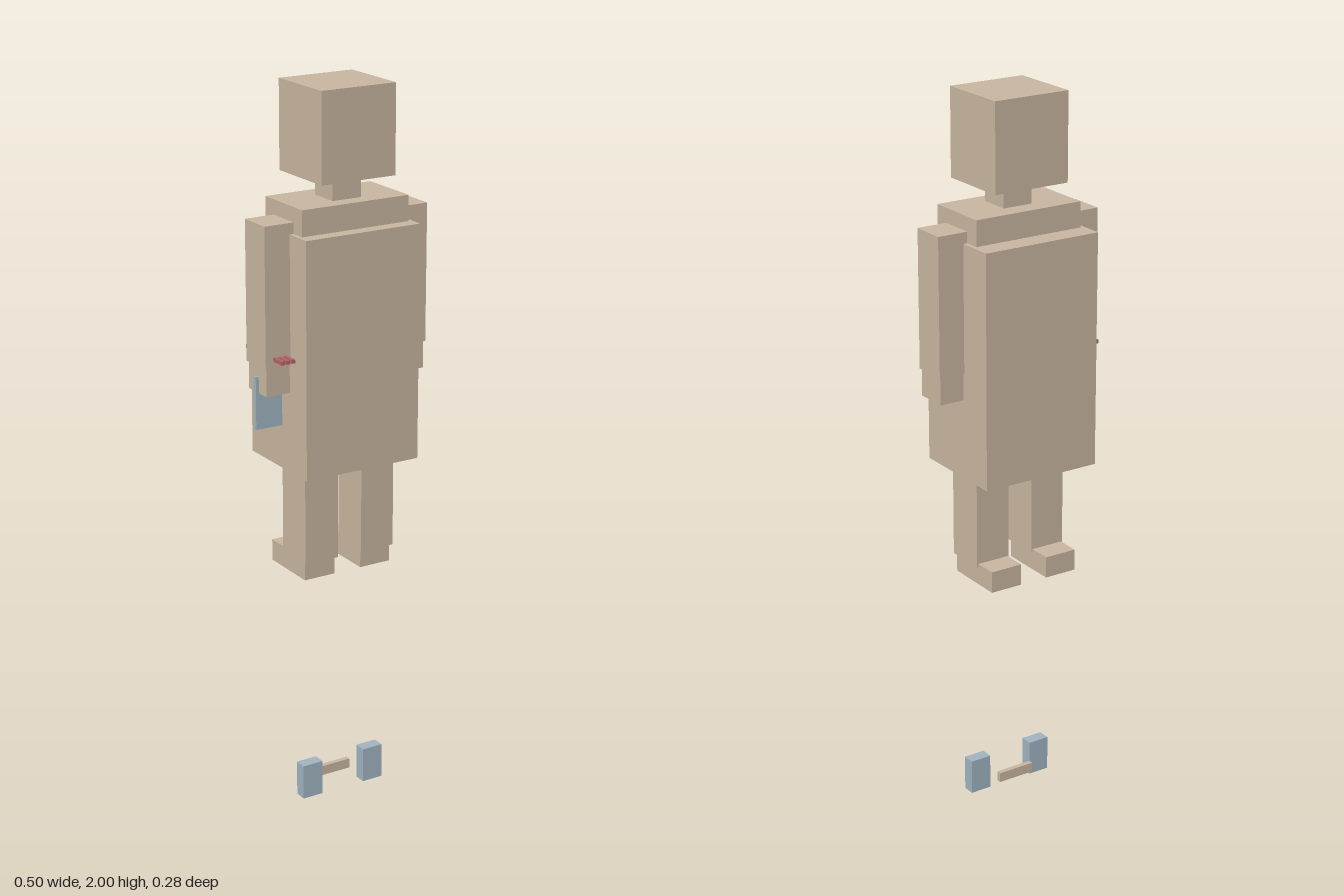
import * as THREE from 'three';

export function createModel() {
  const model = new THREE.Group();
  model.name = 'blockFigure';

  const material = (name, color) => {
    const m = new THREE.MeshStandardMaterial({ color });
    m.name = name;
    return m;
  };
  const tan = material('tan', 0xc8b6a0);
  const blue = material('paleBlue', 0xa0b4c0);
  const red = material('dullRed', 0xb0626a);

  // Box spanning the given [min, max] ranges
  const box = (name, mat, x, y, z) => {
    const mesh = new THREE.Mesh(
      new THREE.BoxGeometry(x[1] - x[0], y[1] - y[0], z[1] - z[0]), mat);
    mesh.position.set((x[0] + x[1]) / 2, (y[0] + y[1]) / 2, (z[0] + z[1]) / 2);
    mesh.name = name;
    model.add(mesh);
  };

  // Head and torso
  box('head', tan, [-0.109, 0.113], [1.76, 2], [-0.093, 0.116]);
  box('neck', tan, [-0.041, 0.045], [1.69, 1.77], [-0.028, 0.059]);
  box('shoulders', tan, [-0.159, 0.163], [1.6, 1.7], [-0.081, 0.103]);
  box('torso', tan, [-0.171, 0.175], [0.985, 1.63], [-0.143, 0.141]);

  // Paired limbs, mirrored about a slightly offset centre line
  const centre = 0.0025;
  for (const [side, s] of [['left', 1], ['right', -1]]) {
    const span = (a, b) => [centre + s * a, centre + s * b].sort((p, q) => p - q);
    box(side + 'Arm', tan, span(0.16, 0.2475), [1.28, 1.66], [-0.038, 0.061]);
    box(side + 'Hand', tan, span(0.164, 0.2435), [1.205, 1.285], [-0.034, 0.057]);
    box(side + 'Leg', tan, span(0.037, 0.139), [0.72, 1.0], [-0.042, 0.075]);
    box(side + 'Foot', tan, span(0.041, 0.135), [0.67, 0.73], [-0.108, 0.065]);
    // Loose plate on the ground
    box(side + 'GroundPlate', blue, span(0.067, 0.129), [0, 0.1], [0.008, 0.043]);
  }

  // Small bar between the ground plates
  box('groundBar', tan, [-0.053, 0.056], [0.025, 0.053], [-0.022, -0.008]);

  // Thin plate held in the right hand
  box('handPlate', blue, [-0.25, -0.153], [1.105, 1.25], [0.005, 0.017]);

  // Three thin rods through the right forearm
  for (let i = -1; i <= 1; i++) {
    const x = -0.202 + i * 0.0155;
    box('forearmRod', red, [x - 0.005, x + 0.005], [1.3, 1.31], [-0.081, 0.103]);
  }

  return model;
}
